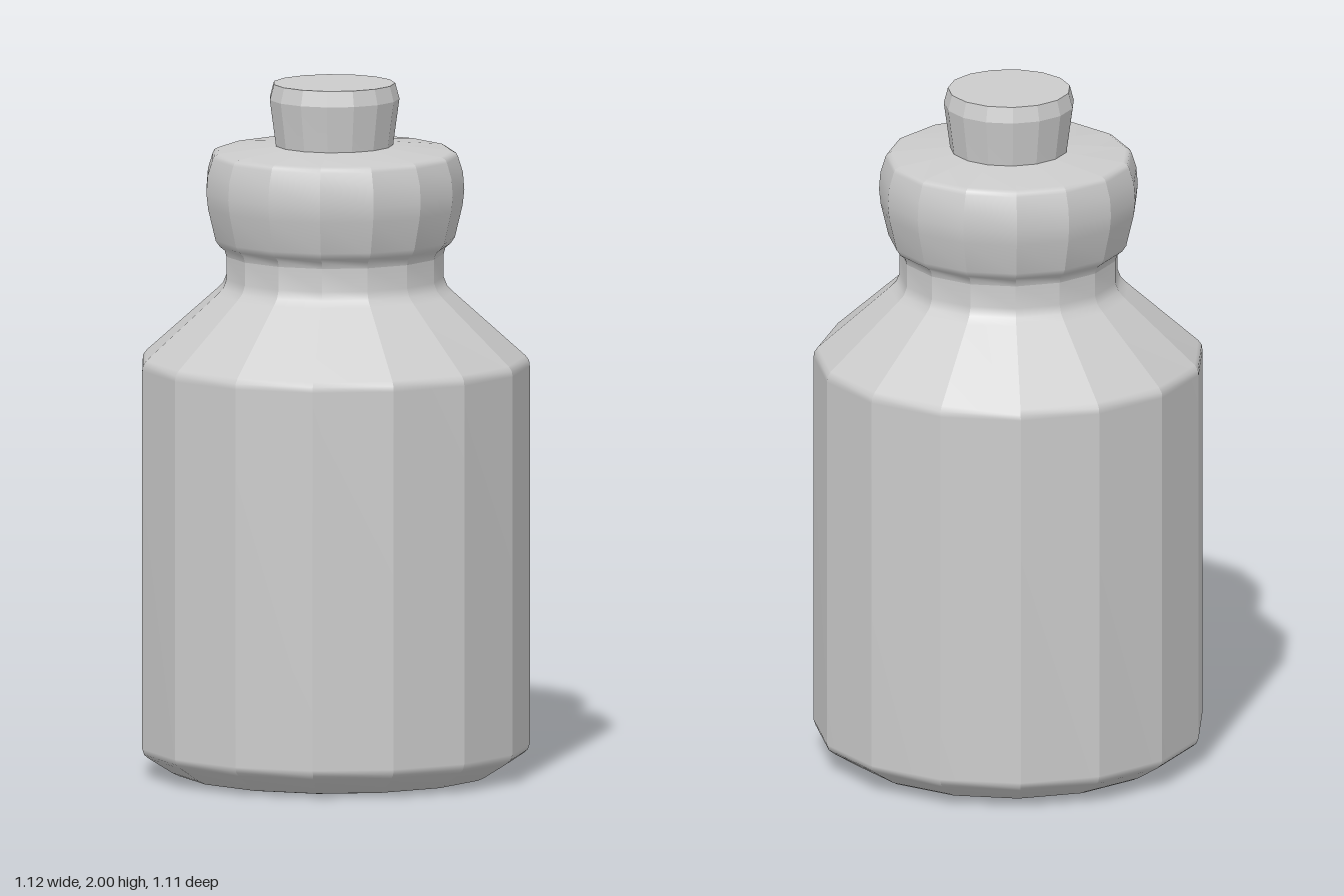
import * as THREE from 'three';
import { mergeGeometries } from 'three/addons/utils/BufferGeometryUtils.js';

const SIDES = 15;
const STEP = (Math.PI * 2) / SIDES;

// Lathe made of separate facets: sharp between sides, smooth along the profile.
// Each run is a list of [radius, y] from bottom to top; runs meet at hard edges.
function facetedLathe(runs) {
  const strips = [];
  for (const run of runs) {
    const points = run.map(([r, y]) => new THREE.Vector2(r, y));
    for (let i = 0; i < SIDES; i++) {
      const strip = new THREE.LatheGeometry(points, 1, Math.PI + i * STEP, STEP);
      strip.computeVertexNormals();
      strips.push(strip);
    }
  }
  return mergeGeometries(strips);
}

export function createModel() {
  const group = new THREE.Group();
  const material = new THREE.MeshStandardMaterial({ color: 0xcccccc });

  function addPart(name, runs) {
    const mesh = new THREE.Mesh(facetedLathe(runs), material);
    mesh.name = name;
    mesh.position.z = 0.006; // odd number of sides: centre the bounds
    group.add(mesh);
  }

  // Body with chamfered base, sloping shoulder and short neck
  addPart('bottleBody', [[
    [0, 0], [0.43, 0], [0.455, 0.004], [0.475, 0.014],
    [0.543, 0.057], [0.556, 0.068], [0.562, 0.085],
    [0.562, 1.18], [0.56, 1.196], [0.55, 1.21],
    [0.345, 1.393], [0.325, 1.413], [0.315, 1.438], [0.315, 1.505],
  ]]);

  // Bulging lip with a nearly flat top
  addPart('bottleLip', [[
    [0.315, 1.505], [0.32, 1.523], [0.335, 1.535], [0.347, 1.553],
    [0.369, 1.645], [0.374, 1.69], [0.37, 1.742],
    [0.356, 1.787], [0.351, 1.797], [0.338, 1.804], [0.15, 1.823],
  ]]);

  // Stopper, widest near its top
  addPart('stopper', [
    [[0, 1.78], [0.165, 1.78]],
    [[0.165, 1.78], [0.171, 1.83], [0.188, 1.955]],
    [[0.188, 1.955], [0.176, 2]],
    [[0.176, 2], [0, 2]],
  ]);

  return group;
}
